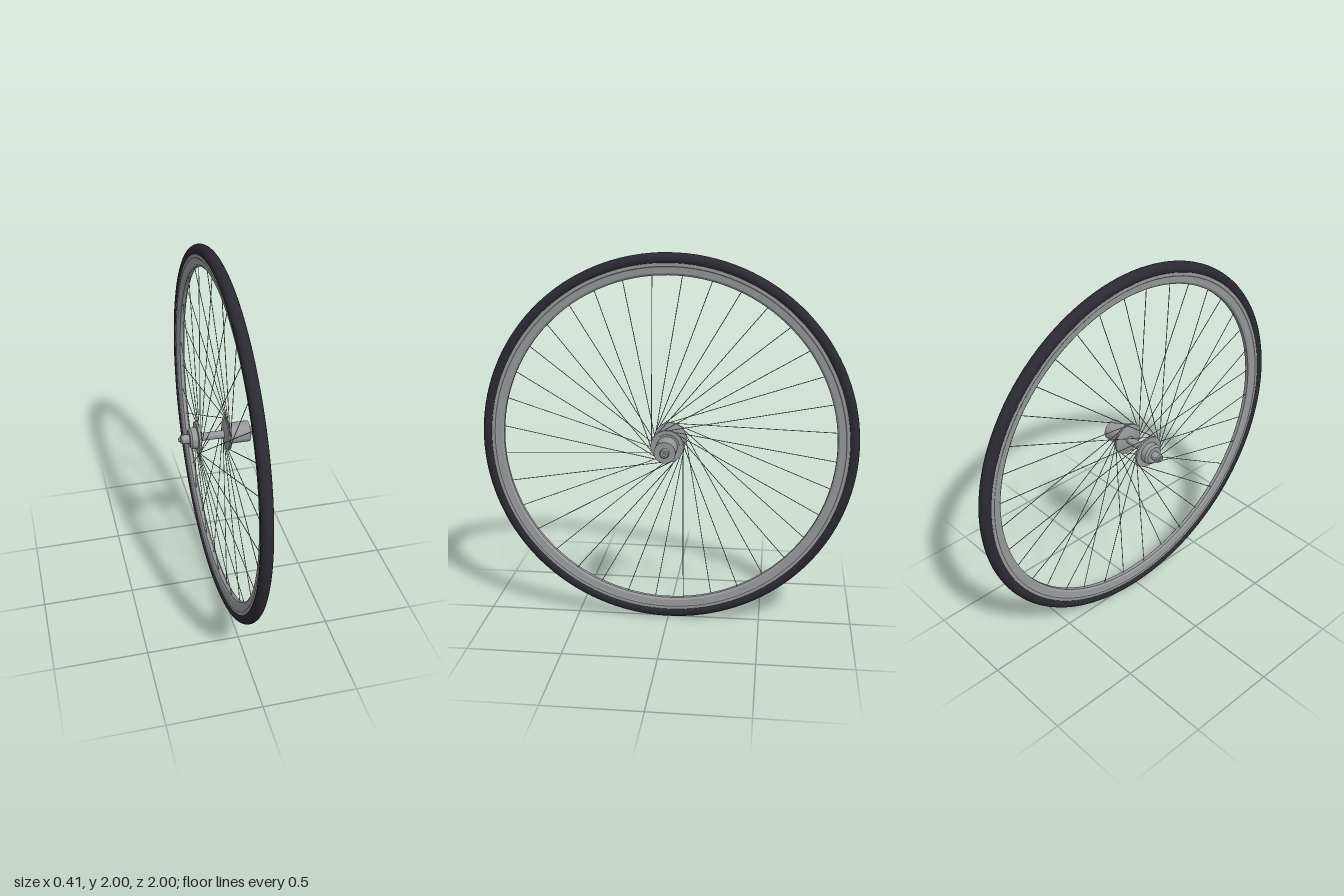
import * as THREE from 'three';
import { toCreasedNormals } from 'three/addons/utils/BufferGeometryUtils.js';

const material = (name, color) => {
  const m = new THREE.MeshStandardMaterial({ color });
  m.name = name;
  return m;
};

export function createModel() {
  const rubber = material('dark rubber', 0x2b2a32);
  const metal = material('brushed metal', 0x97999a);

  const wheel = new THREE.Group();
  wheel.name = 'wheel';
  wheel.position.y = 1;

  const add = (name, geometry, mat, parent = wheel) => {
    const mesh = new THREE.Mesh(geometry, mat);
    mesh.name = name;
    parent.add(mesh);
    return mesh;
  };

  // Turned ring or solid around the x axis, from [radius, x] points
  const turned = (points, segments) => toCreasedNormals(
    new THREE.LatheGeometry(points.map(([r, x]) => new THREE.Vector2(r, x)), segments)
      .rotateZ(-Math.PI / 2), 0.5);

  // Tyre
  add('tyre', new THREE.TorusGeometry(0.969, 0.031, 20, 128).rotateY(Math.PI / 2), rubber);

  // Rim: closed profile with a lip beside the tyre and a narrower inner bed
  const half = [[0.955, 0.024], [0.932, 0.024], [0.927, 0.02], [0.897, 0.018], [0.886, 0.01]];
  const mirrored = half.map(([r, x]) => [r, -x]).reverse();
  add('rim', turned([...mirrored, ...half, mirrored[0]], 128), metal);

  // Hub: solids of revolution given as [radius, x] profiles, closed on the axis
  const hub = new THREE.Group();
  hub.name = 'hub';
  wheel.add(hub);
  const hubParts = {
    axle: [[0.01, -0.205], [0.01, 0.205]],
    shaft: [[0.021, -0.1], [0.021, 0.05]],
    leftLocknut: [[0.018, -0.196], [0.024, -0.19], [0.024, -0.145]],
    leftBearingCap: [[0.046, -0.15], [0.057, -0.14], [0.057, -0.108]],
    leftFlange: [[0.087, -0.11], [0.087, -0.098], [0.045, -0.088]],
    rightFlange: [[0.045, 0.038], [0.087, 0.048], [0.087, 0.062]],
    rightCollar: [[0.066, 0.06], [0.066, 0.068]],
    freehubBody: [[0.056, 0.06], [0.056, 0.174]],
    rightLocknut: [[0.024, 0.17], [0.024, 0.19], [0.02, 0.196]],
  };
  for (const [name, profile] of Object.entries(hubParts)) {
    const closed = [[0, profile[0][1]], ...profile, [0, profile.at(-1)[1]]];
    add(name, turned(closed, 40), metal, hub);
  }

  // Spokes: all tangent to the hub in one direction, alternating between flanges
  const spokes = new THREE.Group();
  spokes.name = 'spokes';
  wheel.add(spokes);
  const hubRadius = 0.083;
  const reach = Math.sqrt(0.892 ** 2 - hubRadius ** 2);
  const up = new THREE.Vector3(0, 1, 0);
  for (let i = 0; i < 36; i++) {
    const a = (i * Math.PI) / 18;
    const left = i % 2 === 0;
    const start = new THREE.Vector3(left ? -0.104 : 0.055,
      hubRadius * Math.cos(a), hubRadius * Math.sin(a));
    const end = new THREE.Vector3(left ? -0.004 : 0.004,
      start.y + reach * Math.sin(a), start.z - reach * Math.cos(a));
    const along = end.clone().sub(start);
    const spoke = add(left ? 'leftSpoke' : 'rightSpoke',
      new THREE.CylinderGeometry(0.002, 0.002, along.length(), 8), metal, spokes);
    spoke.position.copy(start).add(end).multiplyScalar(0.5);
    spoke.quaternion.setFromUnitVectors(up, along.normalize());
  }

  const model = new THREE.Group();
  model.name = 'spokedWheel';
  model.add(wheel);
  return model;
}
